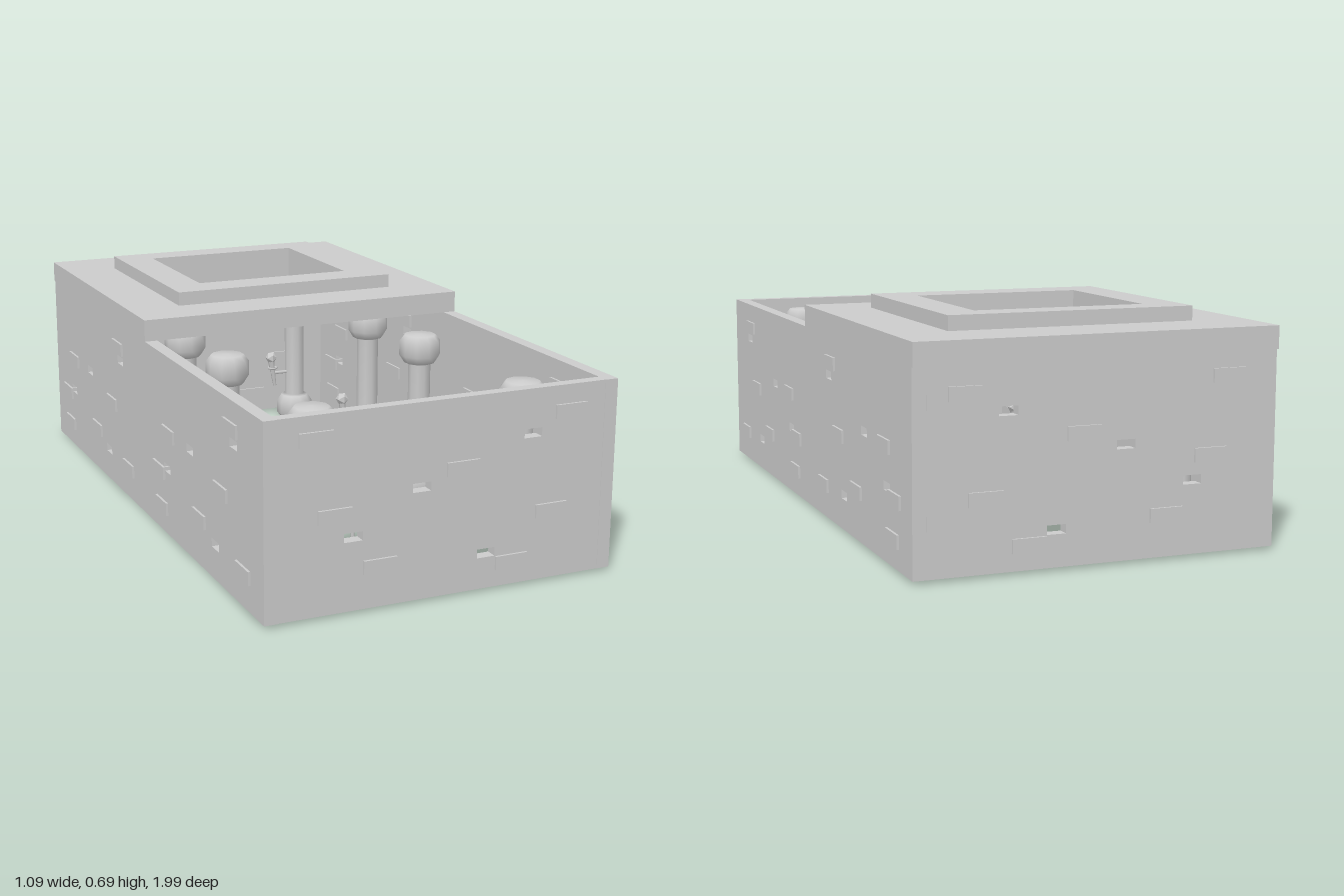
import * as THREE from 'three';

const grey = new THREE.MeshStandardMaterial({ color: 0xcccccc });
const faceted = new THREE.MeshStandardMaterial({ color: 0xcccccc, flatShading: true });

function add(parent, name, geometry, x = 0, y = 0, z = 0, material = grey) {
  const mesh = new THREE.Mesh(geometry, material);
  mesh.name = name;
  mesh.position.set(x, y, z);
  parent.add(mesh);
  return mesh;
}

function rect(Type, x0, y0, x1, y1) {
  return new Type([[x0, y0], [x1, y0], [x1, y1], [x0, y1]].map(p => new THREE.Vector2(...p)));
}

// Raised bricks and small gaps, as positions along and up the wall
const endPattern = {
  bricks: [[-0.39, 0.51], [0.39, 0.5], [0.05, 0.375], [-0.335, 0.29], [0.335, 0.215], [-0.2, 0.13], [0.21, 0.08]],
  gaps: [[-0.075, 0.335], [0.13, 0.115], [0.27, 0.447], [-0.28, 0.222]],
};
const sidePattern = {
  bricks: [[-0.255, 0.495], [-0.175, 0.29], [0.26, 0.335], [-0.34, 0.11], [0, 0.155], [0.35, 0.2], [0.33, 0.09]],
  gaps: [[-0.275, 0.455], [0.075, 0.34], [-0.125, 0.115], [0.28, 0.222]],
};

function wall(name, u0, u1, thickness, pattern) {
  const group = new THREE.Group();
  group.name = name;
  const shape = rect(THREE.Shape, u0, 0.01, u1, 0.575);
  for (const [u, y] of pattern.gaps) {
    shape.holes.push(rect(THREE.Path, u - 0.028, y - 0.013, u + 0.028, y + 0.013));
  }
  const panel = new THREE.ExtrudeGeometry(shape, { depth: thickness, bevelEnabled: false });
  add(group, 'wallPanel', panel.translate(0, 0, -thickness / 2));
  const brick = new THREE.BoxGeometry(0.1, 0.04, thickness + 0.014);
  for (const [u, y] of pattern.bricks) add(group, 'brick', brick, u, y, 0);
  return group;
}

// Horizontal slab with a square opening
function frame(halfX, z0, z1, y0, y1) {
  const shape = rect(THREE.Shape, -halfX, -z1, halfX, -z0);
  shape.holes.push(rect(THREE.Path, -0.26, 0.235, 0.26, 0.71));
  return new THREE.ExtrudeGeometry(shape, { depth: y1 - y0, bevelEnabled: false })
    .rotateX(-Math.PI / 2).translate(0, y0, 0);
}

// Column with swollen base and capital
const columnProfile = [
  [0, 0.01], [0.05, 0.01], [0.066, 0.03], [0.066, 0.075], [0.05, 0.1], [0.036, 0.105],
  [0.036, 0.455], [0.05, 0.46], [0.066, 0.485], [0.066, 0.53], [0.05, 0.55], [0, 0.553],
].map(p => new THREE.Vector2(...p));
const columnGeometry = new THREE.LatheGeometry(columnProfile, 10);

function columnWithTorch(x, z) {
  const group = new THREE.Group();
  group.name = 'column';
  const side = Math.sign(x);
  add(group, 'columnBody', columnGeometry, x, 0, z);
  // Torch leaning inward from a small bracket
  const bracket = add(group, 'torchBracket', new THREE.CylinderGeometry(0.006, 0.006, 0.07, 6), x - side * 0.062, 0.19, z);
  bracket.rotation.z = Math.PI / 2;
  const handle = add(group, 'torchHandle', new THREE.CylinderGeometry(0.012, 0.006, 0.1, 6), x - side * 0.088, 0.19, z);
  handle.rotation.z = side * 0.15;
  add(group, 'torchRing', new THREE.TorusGeometry(0.016, 0.004, 5, 8).rotateX(Math.PI / 2), x - side * 0.09, 0.21, z);
  add(group, 'torchFlame', new THREE.IcosahedronGeometry(0.022, 0), x - side * 0.095, 0.25, z, faceted);
  return group;
}

export function createModel() {
  const model = new THREE.Group();
  model.name = 'stoneRooms';

  // Walls
  const front = wall('frontWall', -0.5, 0.5, 0.035, endPattern);
  front.position.z = 0.966;
  const back = wall('backWall', -0.5, 0.5, 0.035, endPattern);
  back.position.z = -0.973;
  model.add(front, back);
  for (const x of [-0.52, 0.52]) {
    for (const z of [0.5, -0.5]) {
      const side = z > 0
        ? wall('frontRoomSideWall', -0.485, 0.5, 0.04, sidePattern)
        : wall('backRoomSideWall', -0.5, 0.49, 0.04, sidePattern);
      side.rotation.y = Math.PI / 2;
      side.position.set(x, 0, z);
      model.add(side);
    }
  }

  // Roof of the back room with its raised skylight frame
  add(model, 'roofSlab', frame(0.54, -1, 0.035, 0.575, 0.642));
  add(model, 'skylightFrame', frame(0.372, -0.805, -0.122, 0.642, 0.685));

  // Columns in both rooms
  for (const x of [-0.33, 0.33]) {
    for (const z of [-0.82, -0.19, 0.19, 0.82]) model.add(columnWithTorch(x, z));
  }

  // Cage of upright bars around a small skull
  const cage = new THREE.Group();
  cage.name = 'cage';
  model.add(cage);
  const bar = new THREE.CylinderGeometry(0.006, 0.006, 0.26, 6);
  for (const i of [-1, 0, 1]) {
    for (const j of [-1, 0, 1]) {
      if (i || j) add(cage, 'cageBar', bar, i * 0.072, 0.13, 0.472 + j * 0.072);
    }
  }
  const skull = add(cage, 'skull', new THREE.SphereGeometry(0.02, 8, 6), 0, 0.05, 0.494);
  skull.scale.z = 1.1;
  add(cage, 'skullSnout', new THREE.ConeGeometry(0.012, 0.04, 6).rotateX(-Math.PI / 2), 0, 0.05, 0.468);

  // Altar with a book and a small staff
  const altar = new THREE.Group();
  altar.name = 'altar';
  model.add(altar);
  add(altar, 'altarBase', new THREE.BoxGeometry(0.2, 0.022, 0.2), 0, 0.021, -0.3);
  add(altar, 'altarStem', new THREE.BoxGeometry(0.12, 0.08, 0.12), 0, 0.065, -0.3);
  add(altar, 'altarTop', new THREE.BoxGeometry(0.2, 0.022, 0.2), 0, 0.109, -0.3);
  add(altar, 'book', new THREE.BoxGeometry(0.065, 0.016, 0.038), -0.034, 0.128, -0.345);
  add(altar, 'staff', new THREE.CylinderGeometry(0.004, 0.004, 0.05, 6).rotateX(Math.PI / 2), 0, 0.125, -0.285);
  add(altar, 'staffHead', new THREE.SphereGeometry(0.013, 8, 6), 0, 0.13, -0.262);

  // Round pots on the ground
  add(model, 'roundPot', new THREE.SphereGeometry(0.042, 10, 8), -0.44, 0.052, 0.37);
  add(model, 'brokenPot', new THREE.ConeGeometry(0.05, 0.09, 6), 0.275, 0.055, -0.47, faceted);

  return model;
}
